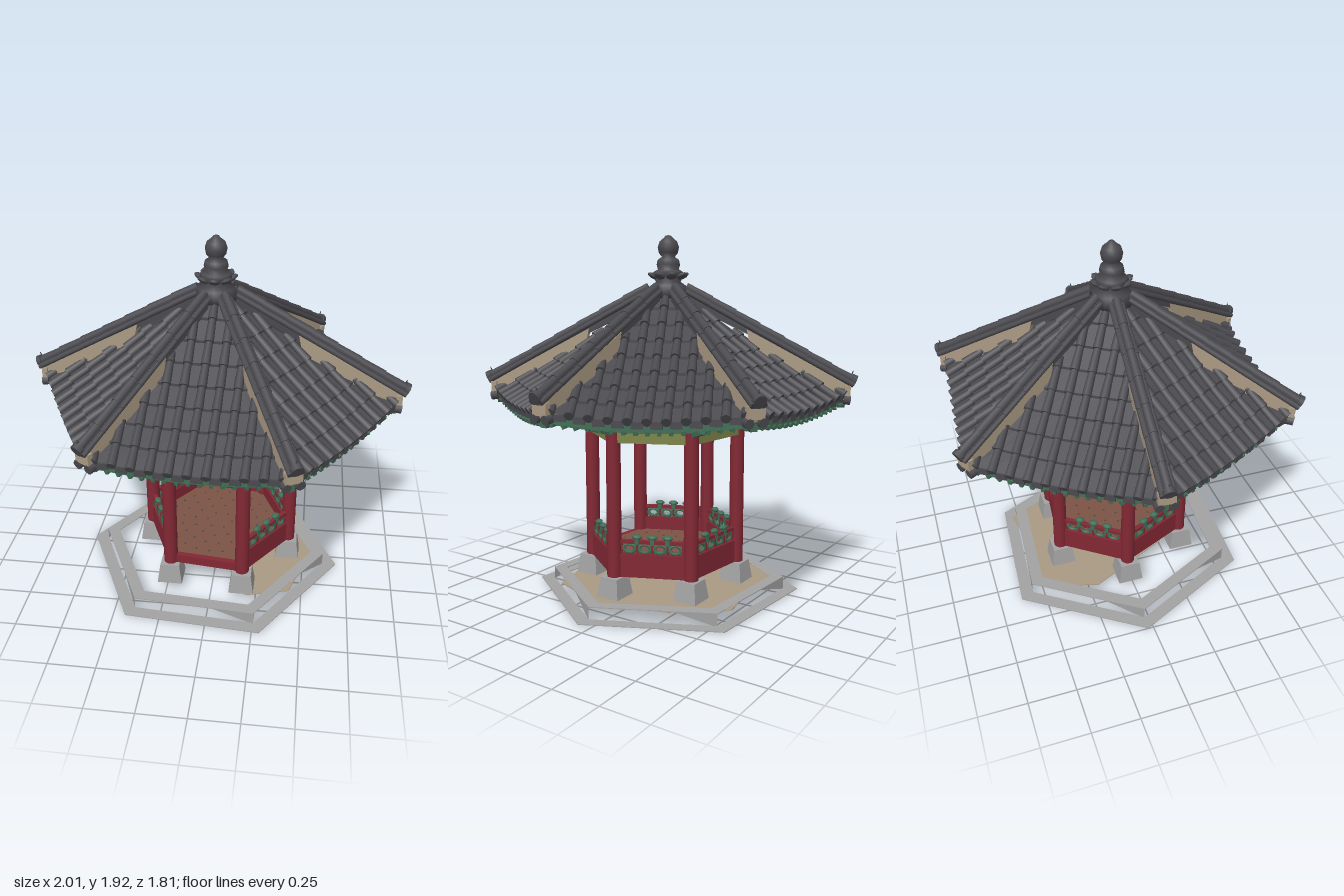
import * as THREE from 'three';
import { mergeGeometries } from 'three/addons/utils/BufferGeometryUtils.js';

const mat = (name, color, side = THREE.FrontSide) => {
  const m = new THREE.MeshStandardMaterial({ color, side });
  m.name = name;
  return m;
};
const D = THREE.DoubleSide;
const tile = mat('roof tile grey', 0x4a4a4f, D), red = mat('column red', 0x822834),
  green = mat('painted green', 0x416e56, D), olive = mat('beam olive', 0x7d8549, D),
  tan = mat('mortar tan', 0xaa9a83, D), stone = mat('stone grey', 0xa2a2a2, D),
  brown = mat('floor brown', 0x7c5445), orange = mat('rafter end orange', 0xa9543f);

const V = (x, y, z) => new THREE.Vector3(x, y, z);
const rad = THREE.MathUtils.degToRad;
const T30 = Math.tan(Math.PI / 6);
const EAVE = 0.82;

function add(parent, geo, material, name) {
  const m = new THREE.Mesh(Array.isArray(geo) ? mergeGeometries(geo.map(g => g.index ? g.toNonIndexed() : g)) : geo, material);
  m.name = name;
  parent.add(m);
  return m;
}
const box = (w, h, d, x, y, z) => new THREE.BoxGeometry(w, h, d).translate(x, y, z);

// Round or four-sided bar between two points
function rod(a, b, r0, r1 = r0, sides = 8) {
  const d = b.clone().sub(a);
  const g = new THREE.CylinderGeometry(r1, r0, d.length(), sides);
  if (sides === 4) g.rotateY(Math.PI / 4);
  g.applyQuaternion(new THREE.Quaternion().setFromUnitVectors(V(0, 1, 0), d.normalize()));
  return g.translate((a.x + b.x) / 2, (a.y + b.y) / 2, (a.z + b.z) / 2);
}

// Surface of rows and columns with crisp facets
function grid(rows, cols, fn) {
  const pos = [], idx = [];
  for (let i = 0; i <= rows; i++) for (let j = 0; j <= cols; j++) pos.push(...fn(i, j / cols * 2 - 1));
  for (let i = 0; i < rows; i++) for (let j = 0; j < cols; j++) {
    const a = i * (cols + 1) + j, c = a + cols + 1;
    idx.push(a, c, a + 1, a + 1, c, c + 1);
  }
  let g = new THREE.BufferGeometry();
  g.setAttribute('position', new THREE.Float32BufferAttribute(pos, 3));
  g.setIndex(idx);
  g = g.toNonIndexed();
  g.computeVertexNormals();
  return g;
}

// Side profile extruded to a thickness centred on z = 0
function plate(pts, t) {
  const s = new THREE.Shape(pts.map(p => new THREE.Vector2(...p)));
  return new THREE.ExtrudeGeometry(s, { depth: t, bevelEnabled: false }).translate(0, 0, -t / 2);
}

// Flat slab lying in xz with its top at y
function slab(pts, hole, top, thick) {
  const s = new THREE.Shape(pts);
  if (hole) s.holes.push(new THREE.Path(hole));
  return new THREE.ExtrudeGeometry(s, { depth: thick, bevelEnabled: false }).rotateX(Math.PI / 2).translate(0, top, 0);
}
const hex = (r, deg) => [0, 1, 2, 3, 4, 5].map(k =>
  new THREE.Vector2(r * Math.cos(rad(60 * k + deg)), r * Math.sin(rad(60 * k + deg))));

// Corner group: local +x points outward; face group: local +z points outward
function side(parent, name, k, deg, isFace) {
  const g = new THREE.Group();
  g.name = name;
  g.rotation.y = isFace ? Math.PI / 2 - rad(60 * k + 30 + deg) : -rad(60 * k + deg);
  parent.add(g);
  return g;
}

// Height of the roof at distance s from the middle and lateral offset x
function roofY(s, x) {
  const t = s / EAVE, w = Math.min(1, Math.abs(x) / (s * T30 + 1e-6));
  return 1.66 - 0.61 * t - 0.03 * Math.sin(Math.PI * Math.min(t, 1)) + 0.04 * w * w * t ** 3;
}

function roofFace(g) {
  // Stepped courses of pan tiles
  const N = 8, S = i => 0.05 + (EAVE - 0.05) * i / N;
  add(g, grid(2 * N - 1, 10, (i, w) => {
    const s = S(Math.ceil(i / 2)), x = w * s * T30;
    return [x, roofY(s, x) + (i % 2 ? 0.014 : 0), s];
  }), tile, 'panTiles');
  // Convex tile rolls and eave drips
  const rolls = [], drips = [];
  for (let j = -5; j <= 5; j++) {
    const x = j * 0.087, start = Math.max(0.09, Math.abs(x) / T30);
    for (let i = 0; i < N; i++) {
      const s0 = Math.max(S(i), start), s1 = S(i + 1) + 0.012;
      if (s1 - s0 < 0.02) continue;
      rolls.push(rod(V(x, roofY(s0, x) + 0.014, s0), V(x, roofY(s1, x) + 0.022, s1), 0.019, 0.024));
    }
    if (j < 5) {
      const xm = x + 0.0435;
      drips.push(box(0.055, 0.032, 0.008, xm, roofY(EAVE, xm) - 0.002, EAVE + 0.004));
    }
  }
  add(g, rolls, tile, 'tileRolls');
  add(g, drips, tile, 'eaveDrips');
  // Soffit, green near the columns and dark under the eave
  const soffit = (f0, f1) => grid(3, 10, (i, w) => {
    const f = f0 + (f1 - f0) * i / 3, s = 0.36 + 0.44 * f;
    return [w * s * T30, 1.11 * (1 - f) + (roofY(0.8, w * 0.8 * T30) - 0.035) * f, s];
  });
  add(g, soffit(0, 0.6), green, 'innerSoffit');
  add(g, soffit(0.6, 1), tile, 'outerSoffit');
  // Height where the round rafters end, and under the eave
  const yOut = w => roofY(0.8, w * 0.8 * T30) - 0.055;
  const yMid = w => (1.09 + yOut(w)) / 2 - 0.017;
  const at = (w, s, y) => V(w * s * T30, y, s);
  add(g, grid(1, 12, (i, w) => [w * 0.8 * T30, yOut(w) + (i ? 0 : 0.05), 0.8]), green, 'eaveBoard');
  add(g, grid(1, 12, (i, w) => [w * 0.6 * T30, yMid(w) + (i ? 0.008 : 0.04), 0.602]), olive, 'rafterBand');
  // Fanned rafters
  const round = [], tips = [], ends = [], ceiling = [], battens = [];
  for (let j = -8; j <= 8; j++) {
    const w = j / 8.6;
    round.push(rod(at(w, 0.34, 1.09), at(w, 0.6, yMid(w)), 0.011, 0.011, 6));
    ends.push(rod(at(w, 0.6, yMid(w)), at(w, 0.614, yMid(w)), 0.014, 0.014, 6));
    tips.push(rod(at(w, 0.55, yMid(w) + 0.02), at(w, 0.81, yOut(w)), 0.013, 0.013, 4));
    if (j % 2 === 0) ceiling.push(rod(V(w * 0.36 * T30, 1.11, 0.36), V(w * 0.05 * T30, 1.5, 0.05), 0.01, 0.01, 4));
    if (j < 8) {
      const u = (j + 0.5) / 8.6;
      battens.push(rod(at(u, 0.61, yMid(u) + 0.027), at(u, 0.79, yOut(u) + 0.015), 0.007, 0.01, 4));
    }
  }
  add(g, round, olive, 'rafters');
  add(g, ends, orange, 'rafterEnds');
  add(g, tips, green, 'flyingRafters');
  add(g, battens, red, 'redBattens');
  add(g, ceiling, green, 'ceilingRafters');
}

function hipRidge(g) {
  const parts = [], n = 7, at = (f, dy, z) => V(0.1 + 0.88 * f, 1.655 - 0.485 * f + dy, z);
  for (let i = 0; i < n; i++) {
    parts.push(rod(at(i / n, 0, 0), at((i + 1.04) / n, 0.003, 0), 0.022, 0.024, 10));
    for (const z of [-0.028, 0.028]) parts.push(rod(at(i / n, -0.024, z), at((i + 1) / n, -0.022, z), 0.013, 0.015));
  }
  add(g, parts, tile, 'hipRidgeTiles');
  add(g, plate([[0.1, 1.65], [0.98, 1.165], [0.975, 1.135], [0.1, 1.57]], 0.05), tile, 'hipRidgeBody');
  add(g, plate([[0.42, 1.435], [0.965, 1.145], [0.945, 1.07], [0.9, 1.07], [0.45, 1.3]], 0.06), tan, 'hipMortar');
  add(g, box(0.03, 0.06, 0.085, 0.95, 1.115, 0), tan, 'hipEndBlock');
  add(g, [rod(V(0.97, 1.175, 0), V(0.993, 1.165, 0), 0.032, 0.032, 10),
    rod(V(0.93, 1.072, -0.035), V(0.965, 1.067, -0.035), 0.024), rod(V(0.93, 1.072, 0.035), V(0.965, 1.067, 0.035), 0.024),
    rod(V(0.97, 1.195, 0), V(0.98, 1.22, 0), 0.005, 0.002, 6)], tile, 'hipEndCaps');
  add(g, rod(V(0.38, 1.06, 0), V(0.94, 1.045, 0), 0.03, 0.024, 4), green, 'hipRafter');
}

function railing(g) {
  const posts = [], rings = [], caps = [];
  for (let i = 0; i < 5; i++) {
    const x = -0.16 + i * 0.08;
    posts.push(box(0.01, 0.06, 0.016, x, 0.325, 0.346));
    if (i < 4) rings.push(new THREE.TorusGeometry(0.022, 0.009, 5, 10).scale(1.4, 1, 1).translate(x + 0.04, 0.327, 0.346));
    if (i > 0 && i < 4) caps.push(new THREE.SphereGeometry(0.028, 8, 5).scale(1, 0.5, 0.7).translate(x, 0.387, 0.346),
      box(0.022, 0.036, 0.03, x, 0.367, 0.346));
  }
  posts.push(box(0.35, 0.018, 0.024, 0, 0.362, 0.346));
  add(g, posts, red, 'railFrame');
  add(g, rings, green, 'railScrolls');
  add(g, caps, green, 'railLotusCaps');
}

export function createModel() {
  const model = new THREE.Group();
  model.name = 'hexagonalPavilion';

  // Two-step ground paving with broken risers between
  const ground = new THREE.Group();
  ground.name = 'ground';
  ground.position.set(-0.03, 0, 0.02);
  model.add(ground);
  add(ground, slab(hex(0.725, 4), hex(0.65, 4), 0.008, 0.004), stone, 'outerPaving');
  add(ground, slab(hex(0.648, 4), hex(0.575, 4), 0.072, 0.004), stone, 'innerPaving');
  const v = hex(0.648, 4), risers = [];
  v.forEach((p, k) => {
    const q = p.clone().lerp(v[(k + 1) % 6], 0.35);
    risers.push(p.x, 0.07, p.y, p.x, 0, p.y, q.x, 0.07, q.y);
  });
  const riserGeo = new THREE.BufferGeometry();
  riserGeo.setAttribute('position', new THREE.Float32BufferAttribute(risers, 3));
  riserGeo.computeVertexNormals();
  add(ground, riserGeo, stone, 'risers');
  const sand = [[0.58, 0.03], [0.48, -0.32], [0.28, -0.57], [-0.02, -0.52], [-0.32, -0.52], [-0.4, -0.23],
    [-0.18, 0.22], [0.06, 0.12], [0.23, 0.44], [0.46, 0.38]].map(p => new THREE.Vector2(...p));
  add(ground, slab(sand, null, 0.071, 0.004), tan, 'sand');

  // Pavilion body
  const body = new THREE.Group();
  body.name = 'body';
  body.position.set(0.01, 0, 0.015);
  model.add(body);
  add(body, slab(hex(0.39, 6), null, 0.225, 0.03), brown, 'floor');
  const dots = [];
  for (let ring = 1; ring <= 4; ring++) for (let i = 0; i < ring * 6; i++) {
    const a = i * Math.PI / (3 * ring) + 0.1;
    dots.push(new THREE.CylinderGeometry(0.006, 0.006, 0.004, 6).translate(0.072 * ring * Math.cos(a), 0.226, 0.072 * ring * Math.sin(a)));
  }
  add(body, dots, tile, 'floorStuds');
  // Square footing stones, all set to the same axes
  hex(0.4, 6).forEach(p => {
    const foot = new THREE.CylinderGeometry(0.074, 0.096, 0.11, 4).rotateY(Math.PI / 4).translate(p.x, 0.12, p.y).toNonIndexed();
    foot.computeVertexNormals();
    add(body, foot, stone, 'footingStone');
  });
  for (let k = 0; k < 6; k++) {
    const c = side(body, 'columnBay', k, 6, false);
    add(c, new THREE.CylinderGeometry(0.037, 0.038, 0.85, 16).translate(0.4, 0.595, 0), red, 'column');
    add(c, [plate([[0.35, 0.9], [0.45, 0.925], [0.56, 0.955], [0.56, 0.962], [0.35, 0.965]], 0.03),
      plate([[0.32, 0.97], [0.5, 0.975], [0.6, 1.015], [0.45, 1.03], [0.32, 1.03]], 0.035),
      box(0.05, 0.025, 0.26, 0.4, 0.99, 0), box(0.09, 0.03, 0.09, 0.4, 1.03, 0)], green, 'bracket');

    const f = side(body, 'wallBay', k, 6, true);
    const entrance = k === 1;
    const top = entrance ? 0.225 : 0.298;
    add(f, box(0.38, top - 0.175, 0.03, 0, (top + 0.175) / 2, 0.346), red, 'skirtBeam');
    if (!entrance) railing(f);
    add(f, box(0.38, 0.062, 0.05, 0, 0.91, 0.346), olive, 'lintel');
    add(f, box(0.37, 0.04, 0.02, 0, 0.961, 0.346), tile, 'friezePanel');
    const spots = [-0.08, 0, 0.08].map(x => new THREE.CylinderGeometry(0.017, 0.017, 0.026, 7).rotateX(Math.PI / 2).translate(x, 0.961, 0.346));
    add(f, spots, stone, 'friezeSpots');
    add(f, box(0.42, 0.035, 0.05, 0, 1.0, 0.346), green, 'upperBeam');
    add(f, box(0.42, 0.06, 0.035, 0, 1.055, 0.346), olive, 'purlin');
    add(f, [-0.07, 0.07].map(x => box(0.03, 0.04, 0.09, x, 1.03, 0.36)), red, 'beamBlocks');
  }

  // Roof
  const roof = new THREE.Group();
  roof.name = 'roof';
  roof.position.x = -0.005;
  model.add(roof);
  for (let k = 0; k < 6; k++) {
    roofFace(side(roof, 'roofFace', k, 3, true));
    hipRidge(side(roof, 'hipRidge', k, 3, false));
  }

  // Finial with upturned petals
  const profile = [[0, 1.56], [0.11, 1.6], [0.095, 1.66], [0.065, 1.68], [0.085, 1.72], [0.075, 1.735], [0.055, 1.745], [0.062, 1.77],
    [0.056, 1.795], [0.034, 1.81], [0.05, 1.83], [0.056, 1.86], [0.046, 1.89], [0.024, 1.908], [0.014, 1.92], [0, 1.922]];
  add(roof, new THREE.LatheGeometry(profile.map(p => new THREE.Vector2(...p)), 20).translate(-0.008, 0, 0), tile, 'finial');
  const petals = [];
  for (let i = 0; i < 8; i++) petals.push(new THREE.SphereGeometry(0.034, 8, 6).scale(1, 0.4, 0.9)
    .rotateZ(0.5).translate(0.08, 1.71, 0).rotateY(i * Math.PI / 4).translate(-0.008, 0, 0));
  add(roof, petals, tile, 'finialPetals');
  return model;
}
